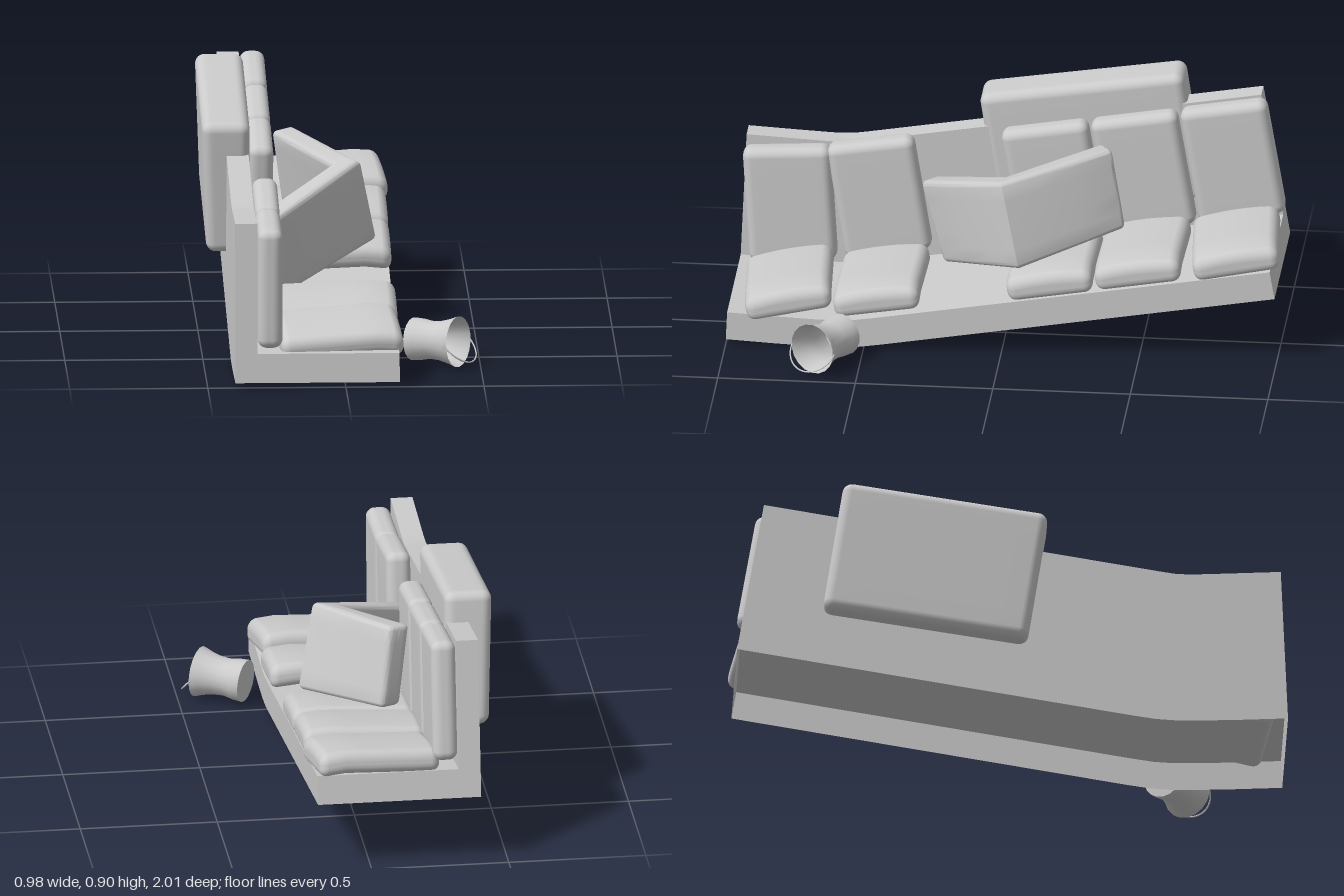
import * as THREE from 'three';
import { mergeVertices, toCreasedNormals } from 'three/addons/utils/BufferGeometryUtils.js';

const grey = new THREE.MeshStandardMaterial({ color: 0xcccccc });
const greyOpen = new THREE.MeshStandardMaterial({ color: 0xcccccc, side: THREE.DoubleSide });

// Box with rounded edges, evenly subdivided so it can be warped afterwards.
function softBox(w, h, d, r, warp) {
  const geo = new THREE.BoxGeometry(2, 2, 2, 12, 12, 12);
  geo.deleteAttribute('normal');
  geo.deleteAttribute('uv');
  const half = new THREE.Vector3(w / 2, h / 2, d / 2);
  const core = half.clone().subScalar(r);
  const spread = (f, c) => {
    const a = Math.abs(f);
    const v = a <= 0.5 ? 2 * a * c : c + r * Math.tan((2 * a - 1) * Math.PI / 4);
    return Math.sign(f) * v;
  };
  const pos = geo.attributes.position;
  const p = new THREE.Vector3(), q = new THREE.Vector3();
  for (let i = 0; i < pos.count; i++) {
    p.set(spread(pos.getX(i), core.x), spread(pos.getY(i), core.y), spread(pos.getZ(i), core.z));
    q.copy(p).clamp(core.clone().negate(), core);
    p.sub(q).normalize().multiplyScalar(r).add(q);
    if (warp) warp(p, half);
    pos.setXYZ(i, p.x, p.y, p.z);
  }
  const out = mergeVertices(geo, 1e-5);
  out.computeVertexNormals();
  return out;
}

function addMesh(parent, name, geo, material = grey) {
  const mesh = new THREE.Mesh(geo, material);
  mesh.name = name;
  parent.add(mesh);
  return mesh;
}

// L-shaped hollow shell, open below, swept along a path that bends upward.
function frameGeometry() {
  const profile = [[-0.4, 0], [-0.4, 0.585], [-0.32, 0.585], [-0.32, 0.107], [0.195, 0.107], [0.195, 0]];
  // z, y and tilt of each station
  const path = [
    [1, 0.015, 0.045], [0.82, 0.006, 0.03], [0.68, 0.001, -0.03], [0.6, 0, -0.07],
    [0.52, 0.005, -0.12], [0.44, 0.017, -0.165], [-0.995, 0.259, -0.167],
  ];
  const n = profile.length;
  const verts = [], idx = [];
  for (const [z, y, tilt] of path)
    for (const [x, h] of profile) verts.push(x, y + h * Math.cos(tilt), z - h * Math.sin(Math.abs(tilt)) * Math.sign(z > 0.7 ? 1 : tilt));
  for (let k = 0; k < path.length - 1; k++)
    for (let i = 0; i < n - 1; i++) {
      const a = k * n + i, c = a + n;
      idx.push(a, a + 1, c + 1, a, c + 1, c);
    }
  // end caps
  const last = (path.length - 1) * n;
  for (const [a, b, c] of [[0, 2, 1], [0, 3, 2], [0, 5, 3], [5, 4, 3]]) {
    idx.push(a, b, c, last + a, last + c, last + b);
  }
  const geo = new THREE.BufferGeometry();
  geo.setAttribute('position', new THREE.Float32BufferAttribute(verts, 3));
  geo.setIndex(idx);
  return toCreasedNormals(geo, 0.4);
}

// Loose cushion folded in a V: three stations of [outer bottom, outer top, inner bottom, inner top].
function foldedGeometry() {
  const V = (x, y, z) => new THREE.Vector3(x, y, z);
  const stations = [
    [V(-0.11, 0.38, -0.43), V(-0.145, 0.675, -0.375), V(-0.185, 0.37, -0.375), V(-0.225, 0.665, -0.33)],
    [V(0.147, 0.315, -0.06), V(0.085, 0.625, 0.01), V(0.04, 0.3, -0.06), V(-0.02, 0.61, 0)],
    [V(-0.2, 0.175, 0.25), V(-0.25, 0.47, 0.34), V(-0.26, 0.18, 0.19), V(-0.315, 0.47, 0.275)],
  ];
  const mix = (a, b, t) => a.clone().lerp(b, t);
  const geo = softBox(0.9, 0.3, 0.09, 0.02, (p, half) => {
    const s = p.x / half.x, v = (p.y / half.y + 1) / 2, t = (p.z / half.z + 1) / 2;
    const end = s < 0 ? stations[0] : stations[2];
    const c = stations[1].map((m, i) => mix(m, end[i], Math.abs(s)));
    p.copy(mix(mix(c[0], c[1], v), mix(c[2], c[3], v), t));
  });
  return toCreasedNormals(geo, 0.7);
}

function makeBucket() {
  const bucket = new THREE.Group();
  bucket.name = 'bucket';
  // flared wall with a pinched waist and a closed bottom
  const wall = [[0, 0], [0.078, 0], [0.076, 0.035], [0.069, 0.075], [0.072, 0.115], [0.082, 0.155], [0.093, 0.185]];
  const body = new THREE.LatheGeometry(wall.map(([r, y]) => new THREE.Vector2(r, y)), 18);
  addMesh(bucket, 'bucketBody', toCreasedNormals(body, 0.8), greyOpen);
  // wire handle hanging from the rim
  const handle = addMesh(bucket, 'bucketHandle', new THREE.TorusGeometry(0.093, 0.003, 6, 24, Math.PI));
  handle.position.y = 0.177;
  handle.rotation.x = -0.85;
  const axis = new THREE.Vector3(0.86, 0.04, 0.51).normalize();
  const side = new THREE.Vector3(-0.51, 0, 0.86).normalize();
  const up = new THREE.Vector3().crossVectors(side, axis);
  bucket.quaternion.setFromRotationMatrix(new THREE.Matrix4().makeBasis(side, axis, up));
  bucket.position.set(0.26, 0.083, 0.57);
  return bucket;
}

export function createModel() {
  const model = new THREE.Group();
  model.name = 'slopingSofa';

  addMesh(model, 'sofaFrame', frameGeometry(), greyOpen);

  // seat cushions: z, y, tilt, yaw
  const seatGeo = softBox(0.445, 0.082, 0.315, 0.033, (p, half) => {
    const u = p.x / half.x, w = p.z / half.z;
    const crown = p.y > 0 ? 0.012 * (1 - w * w) : 0;
    p.y += crown + 0.01 * u - (u > 0.7 ? 0.06 * (u - 0.7) : 0);
  });
  const seats = [
    [0.79, 0.16, 0.19, 0.08], [0.455, 0.182, 0.16, 0], [-0.175, 0.274, 0.168, 0],
    [-0.495, 0.33, 0.168, 0], [-0.835, 0.384, 0.168, 0.09],
  ];
  for (const [z, y, tilt, yaw] of seats) {
    const seat = addMesh(model, 'seatCushion', seatGeo);
    seat.position.set(-0.02, y, z);
    seat.rotation.set(tilt, yaw, 0);
  }

  // back cushions: z, y, tilt
  const backGeo = softBox(0.09, 0.445, 0.32, 0.033);
  const backs = [[0.81, 0.36, 0.06], [0.485, 0.4, 0.16], [-0.15, 0.487, 0.168], [-0.475, 0.54, 0.168], [-0.8, 0.597, 0.168]];
  for (const [z, y, tilt] of backs) {
    const back = addMesh(model, 'backCushion', backGeo);
    back.position.set(-0.272, y, z);
    back.rotation.x = tilt;
  }

  // large cushion straddling the backrest, tapering a little toward the bottom
  const bolster = addMesh(model, 'bolster', softBox(0.175, 0.5, 0.75, 0.035, (p) => {
    if (p.x < 0) p.x += 0.02 * (0.25 - p.y) / 0.5;
  }));
  bolster.position.set(-0.403, 0.595, -0.278);
  bolster.rotation.x = 0.154;

  addMesh(model, 'foldedCushion', foldedGeometry());
  model.add(makeBucket());
  return model;
}
